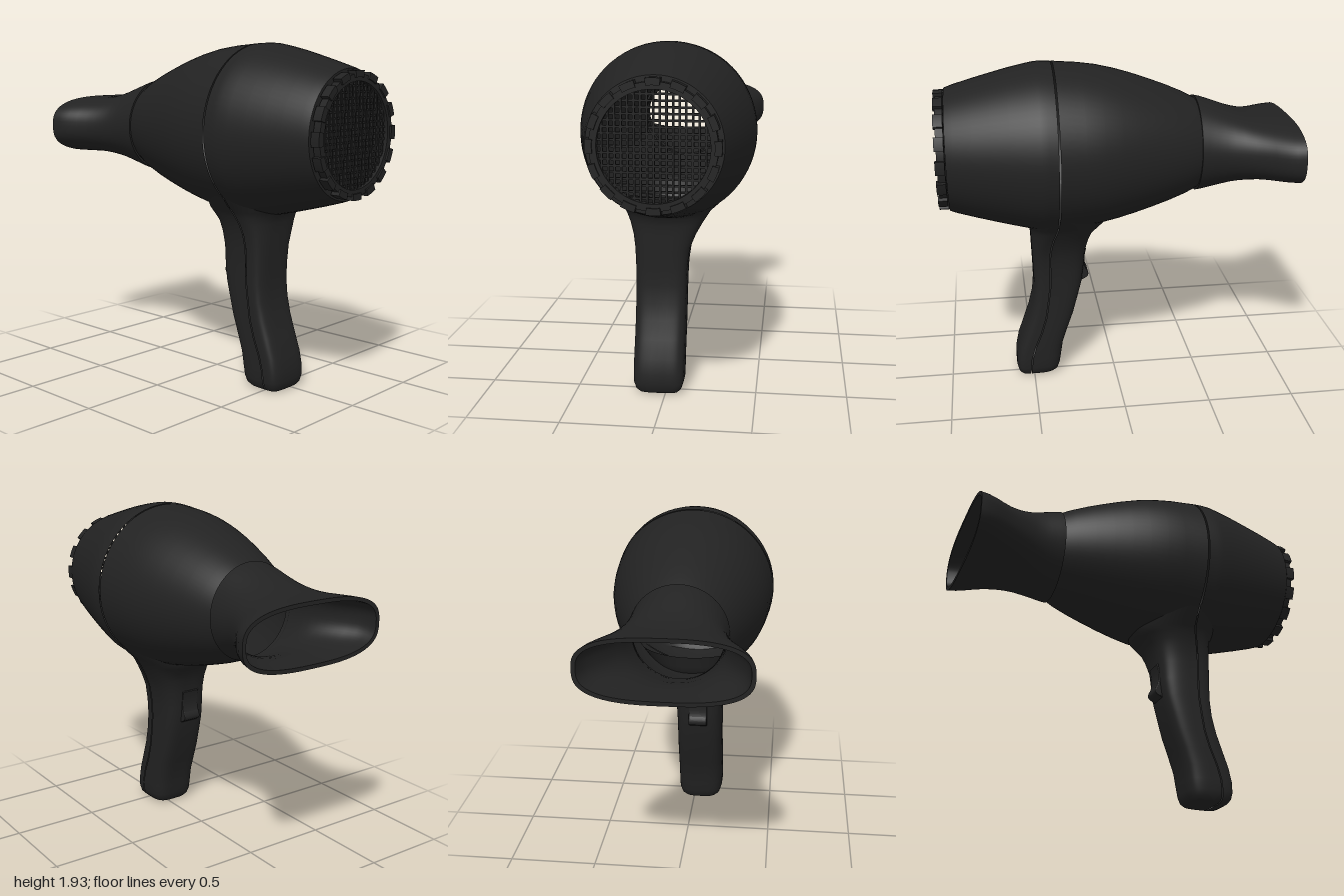
import * as THREE from 'three';
import { mergeVertices, mergeGeometries } from 'three/addons/utils/BufferGeometryUtils.js';

const AXIS_Y = 1.453;

// Skin a list of equal-length point rows; closed rows wrap around
function loft(rows, closed = true) {
  const n = rows[0].length, pos = [], index = [];
  rows.forEach(row => row.forEach(p => pos.push(...p)));
  for (let r = 0; r < rows.length - 1; r++) {
    for (let i = 0; i < (closed ? n : n - 1); i++) {
      const a = r * n + i, b = r * n + (i + 1) % n, c = a + n, d = b + n;
      index.push(a, b, c, b, d, c);
    }
  }
  const g = new THREE.BufferGeometry();
  g.setAttribute('position', new THREE.Float32BufferAttribute(pos, 3));
  g.setIndex(index);
  const merged = mergeVertices(g, 1e-5);
  merged.computeVertexNormals();
  return merged;
}

const power = (v, e) => Math.sign(v) * Math.abs(v) ** (2 / e);

// Rounded cross-section standing across the x axis
function section(x, cy, cz, ry, rz, e = 2, n = 72) {
  return Array.from({ length: n }, (_, i) => {
    const t = i / n * Math.PI * 2;
    return [x, cy + ry * power(Math.cos(t), e), cz - rz * power(Math.sin(t), e)];
  });
}

export function createModel() {
  const group = new THREE.Group();
  const black = new THREE.MeshStandardMaterial({ color: 0x222222, side: THREE.DoubleSide });
  black.name = 'matte black';
  const add = (name, geometry) => {
    const mesh = new THREE.Mesh(geometry, black);
    mesh.name = name;
    group.add(mesh);
    return mesh;
  };
  const round = ([x, cy, r]) => section(x, cy, 0, r, r);

  // Barrel: two hollow shells with a narrow seam between them
  add('frontBarrel', loft([
    [-0.5, 1.435, 0.245], [-0.465, 1.436, 0.262], [-0.4, 1.438, 0.295], [-0.3, 1.441, 0.335],
    [-0.2, 1.444, 0.37], [-0.1, 1.447, 0.402], [0, 1.449, 0.43], [0.1, 1.45, 0.452],
    [0.2, 1.451, 0.465], [0.341, 1.451, 0.476],
  ].map(round)));
  add('rearBarrel', loft([
    [0.35, 1.451, 0.477], [0.4, 1.451, 0.479], [0.44, 1.451, 0.477], [0.5, 1.452, 0.465],
    [0.6, 1.453, 0.442], [0.7, 1.453, 0.416], [0.8, 1.453, 0.389], [0.9, 1.453, 0.36],
    [0.942, AXIS_Y, 0.345],
  ].map(round)));
  add('rearBarrelRim', loft([[0.942, AXIS_Y, 0.345], [0.942, AXIS_Y, 0.29]].map(round)));

  // Nozzle: round at the barrel, flattened and wide at the mouth
  const nozzleRows = [ // x, half height, half width, squareness
    [-0.465, 0.275, 0.272, 2], [-0.5, 0.268, 0.273, 2], [-0.55, 0.253, 0.275, 2], [-0.6, 0.236, 0.279, 2.05],
    [-0.65, 0.218, 0.288, 2.1], [-0.7, 0.202, 0.304, 2.2], [-0.75, 0.189, 0.326, 2.3],
    [-0.8, 0.18, 0.352, 2.4], [-0.85, 0.176, 0.383, 2.5], [-0.9, 0.175, 0.415, 2.6],
    [-0.95, 0.175, 0.438, 2.7], [-1, 0.175, 0.449, 2.8],
  ];
  const nozzle = inset => nozzleRows.map(([x, ry, rz, e]) =>
    section(x, 1.435 - 0.01 * Math.min(1, (-0.465 - x) / 0.3), -0.018 * Math.max(0, (-0.5 - x) / 0.5),
      ry - inset, rz - inset, e));
  const outer = nozzle(0), inner = nozzle(0.022);
  add('nozzle', loft(outer));
  add('nozzleLining', loft(inner));
  add('nozzleLip', loft([outer.at(-1), inner.at(-1)]));
  add('nozzleCollar', loft([outer[0], inner[0]]));

  // Handle: front and rear shells meeting at a curved seam
  const handleRows = [ // y, front x, seam x, back x, centre z, half width, squareness
    [1.12, 0.02, 0.345, 0.58, 0, 0.335, 2], [1.05, 0.04, 0.347, 0.56, 0.003, 0.28, 2.1],
    [1.01, 0.05, 0.35, 0.525, 0.008, 0.24, 2.3], [0.98, 0.085, 0.358, 0.503, 0.01, 0.222, 2.5],
    [0.94, 0.13, 0.37, 0.493, 0.014, 0.2, 2.8], [0.88, 0.157, 0.382, 0.49, 0.022, 0.174, 3.2],
    [0.8, 0.178, 0.39, 0.487, 0.033, 0.152, 3.5], [0.7, 0.187, 0.39, 0.483, 0.038, 0.143, 3.8],
    [0.6, 0.2, 0.392, 0.481, 0.04, 0.14, 4], [0.5, 0.226, 0.405, 0.49, 0.04, 0.14, 4],
    [0.4, 0.253, 0.42, 0.515, 0.04, 0.14, 4], [0.3, 0.288, 0.45, 0.55, 0.04, 0.14, 4],
    [0.2, 0.32, 0.49, 0.584, 0.04, 0.14, 4], [0.12, 0.332, 0.512, 0.6, 0.04, 0.14, 4],
    [0.06, 0.342, 0.518, 0.601, 0.04, 0.138, 4], [0.025, 0.353, 0.52, 0.593, 0.04, 0.127, 4],
    [0.007, 0.37, 0.52, 0.58, 0.04, 0.11, 3.8], [0, 0.4, 0.52, 0.56, 0.04, 0.085, 3.4],
    [0, 0.52, 0.52, 0.52, 0.04, 0.002, 2],
  ];
  for (const side of [-1, 1]) {
    const rows = handleRows.map(([y, front, seam, back, cz, half, e]) => {
      const depth = side < 0 ? seam - front : back - seam;
      return Array.from({ length: 41 }, (_, i) => {
        const t = (i / 40 - 0.5) * Math.PI;
        return [seam + side * (0.003 + depth * Math.abs(power(Math.cos(t), e))), y,
          cz - side * half * power(Math.sin(t), e)];
      });
    });
    add(side < 0 ? 'frontHandle' : 'rearHandle', loft(rows, false));
  }

  // Trigger on the front of the handle
  const trigger = new THREE.Shape();
  trigger.moveTo(0.21, 0.83);
  trigger.lineTo(0.172, 0.8);
  trigger.quadraticCurveTo(0.193, 0.72, 0.172, 0.67);
  trigger.quadraticCurveTo(0.148, 0.635, 0.168, 0.62);
  trigger.lineTo(0.22, 0.59);
  add('trigger', new THREE.ExtrudeGeometry(trigger, {
    depth: 0.1, bevelEnabled: true, bevelSize: 0.004, bevelThickness: 0.006, bevelSegments: 2,
  })).position.z = -0.01;

  // Intake ring with raised teeth, facing +x
  const arcPiece = (r0, r1, a0, a1, x, depth) => {
    const shape = new THREE.Shape();
    shape.absarc(0, 0, r1, a0, a1, false);
    shape.absarc(0, 0, r0, a1, a0, true);
    return new THREE.ExtrudeGeometry(shape, { depth, bevelEnabled: false, curveSegments: 6 })
      .rotateY(Math.PI / 2).translate(x, AXIS_Y, 0);
  };
  const teeth = [], ring = [], step = Math.PI / 8;
  for (let i = 0; i < 16; i++) {
    const a = i * step;
    teeth.push(arcPiece(0.3, 0.336, a - step * 0.29, a + step * 0.29, 0.948, 0.052));
    ring.push(arcPiece(0.28, 0.317, a - step / 2, a + step / 2, 0.948, 0.042));
  }
  add('intakeRing', mergeGeometries(ring));
  add('intakeTeeth', mergeGeometries(teeth));

  // Intake grille: crossed bars trimmed to a circle
  const bars = [], pitch = 0.032;
  for (let i = -8; i <= 8; i++) {
    const d = i * pitch, length = 2 * Math.sqrt(0.285 ** 2 - d * d);
    bars.push(new THREE.BoxGeometry(0.012, length, 0.011).translate(0.97, AXIS_Y, d));
    bars.push(new THREE.BoxGeometry(0.012, 0.011, length).translate(0.966, AXIS_Y + d, 0));
  }
  add('intakeGrille', mergeGeometries(bars));

  return group;
}
